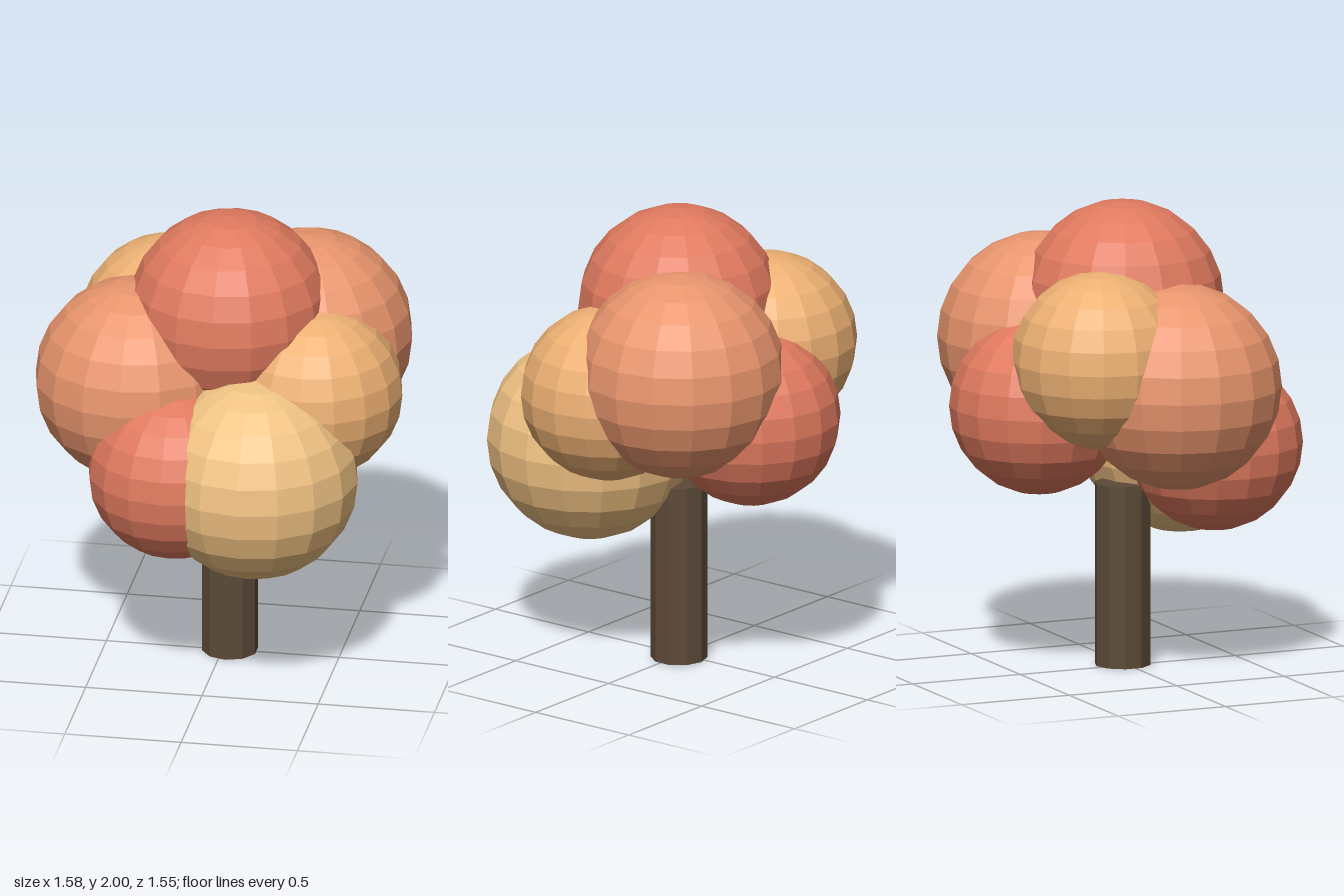
import * as THREE from 'three';

export function createModel() {
  const tree = new THREE.Group();
  tree.name = 'tree';

  const flat = (color) => new THREE.MeshStandardMaterial({ color, flatShading: true });
  const red = flat(0xe07a5f);
  const orange = flat(0xe8956d);
  const amber = flat(0xecb073);
  const yellow = flat(0xf0c283);

  // Straight faceted trunk
  const trunkHeight = 0.785;
  const trunk = new THREE.Mesh(new THREE.CylinderGeometry(0.12, 0.12, trunkHeight, 10), flat(0x5c4a38));
  trunk.name = 'trunk';
  trunk.position.set(0.03, trunkHeight / 2, -0.01);
  tree.add(trunk);

  // Overlapping foliage balls: name, material, radius, centre
  const foliage = new THREE.Group();
  foliage.name = 'foliage';
  tree.add(foliage);
  const balls = [
    ['foliageTop', red, 0.43, 0.03, 1.57, -0.01],
    ['foliageFrontLeft', yellow, 0.44, 0.2, 0.96, 0.335],
    ['foliageFrontRight', red, 0.375, -0.14, 0.96, 0.34],
    ['foliageRight', orange, 0.44, -0.35, 1.26, 0.075],
    ['foliageBackLeft', orange, 0.445, 0.325, 1.385, -0.25],
    ['foliageLeft', amber, 0.375, 0.41, 1.26, 0.07],
    ['foliageBackRight', amber, 0.38, -0.275, 1.385, -0.25],
    ['foliageBack', red, 0.38, 0.03, 1.15, -0.4],
  ];
  for (const [name, material, radius, x, y, z] of balls) {
    const ball = new THREE.Mesh(new THREE.SphereGeometry(radius, 16, 12), material);
    ball.name = name;
    ball.position.set(x, y, z);
    foliage.add(ball);
  }

  return tree;
}
